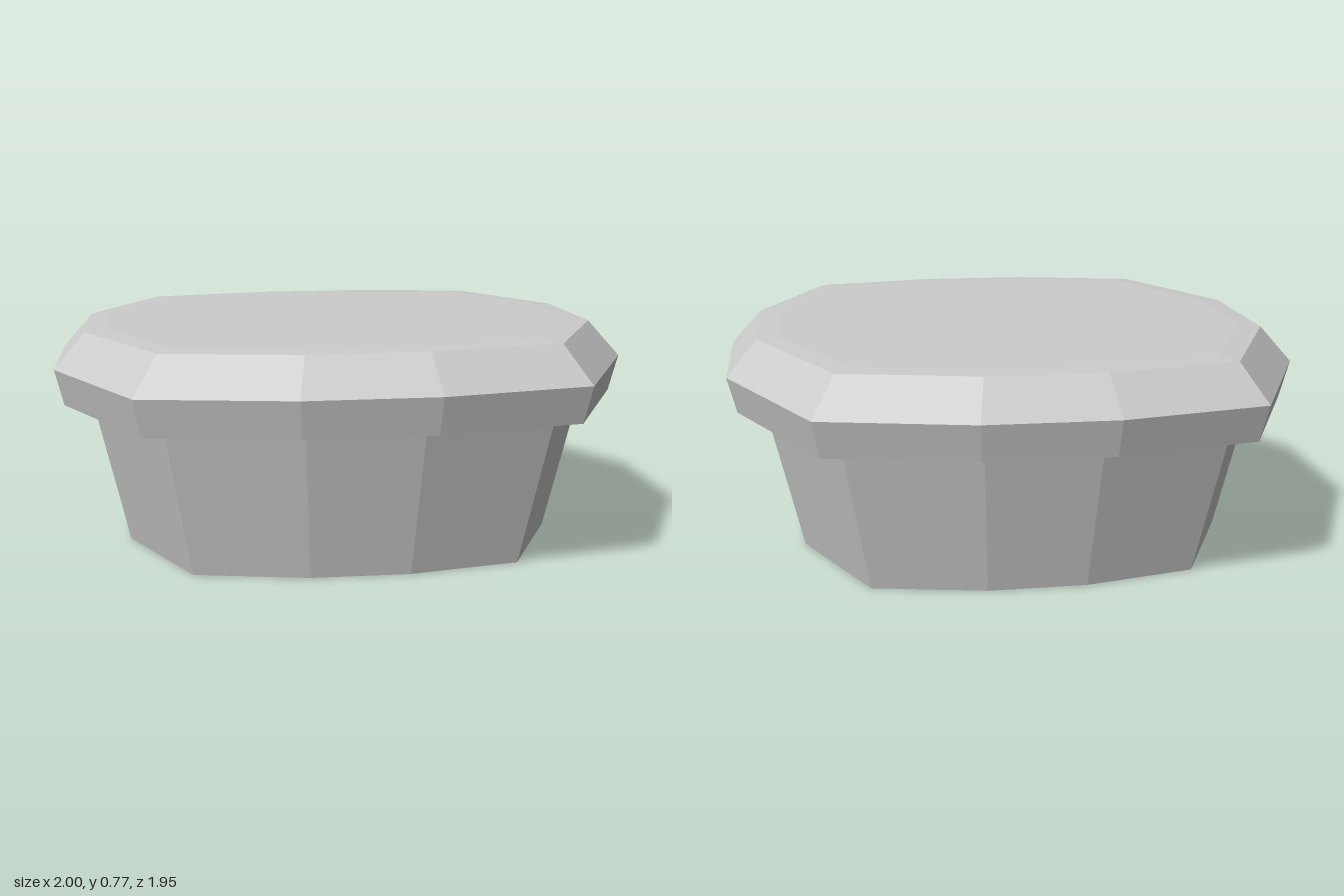
import * as THREE from 'three';

// One quarter of the twelve-sided outline, mirrored to all four corners
const quarter = [[1, 0.285], [0.722, 0.87], [0.22, 0.975]];
const mirrored = (sx, sz, flip) => {
  const pts = quarter.map(([x, z]) => [x * sx, z * sz]);
  return flip ? pts.reverse() : pts;
};
const outline = [
  ...mirrored(1, 1, false), ...mirrored(-1, 1, true),
  ...mirrored(-1, -1, false), ...mirrored(1, -1, true),
];

// Loft the outline through [scale, y] rings, bottom to top; scale 0 closes the end
function loft(rings, tilt = 0) {
  const position = [];
  const point = ([scale, y], i) => {
    const [x, z] = outline[i % outline.length];
    return [x * scale, y + tilt * x * scale, z * scale];
  };
  for (let r = 0; r < rings.length - 1; r++) {
    const low = rings[r], high = rings[r + 1];
    for (let i = 0; i < outline.length; i++) {
      if (low[0] > 0) position.push(...point(low, i), ...point(high, i), ...point(low, i + 1));
      if (high[0] > 0) position.push(...point(high, i), ...point(high, i + 1), ...point(low, i + 1));
    }
  }
  const geometry = new THREE.BufferGeometry();
  geometry.setAttribute('position', new THREE.Float32BufferAttribute(position, 3));
  geometry.computeVertexNormals();
  return geometry;
}

export function createModel() {
  const grey = new THREE.MeshStandardMaterial({ color: 0xcccccc, flatShading: true });
  grey.name = 'light grey';
  const model = new THREE.Group();
  model.name = 'lidded tub';

  const addPart = (name, geometry) => {
    const mesh = new THREE.Mesh(geometry, grey);
    mesh.name = name;
    model.add(mesh);
  };

  // Tapered body with a closed floor
  addPart('body', loft([[0, 0], [0.757, 0], [0.875, 0.515]]));

  // Overhanging lid: underside, skirt, bevel and a barely domed top, tilted a touch
  addPart('lid', loft([
    [0.86, 0.51], [0.969, 0.51], [1, 0.636], [0.893, 0.76], [0.82, 0.765], [0, 0.766],
  ], 0.006));

  return model;
}
